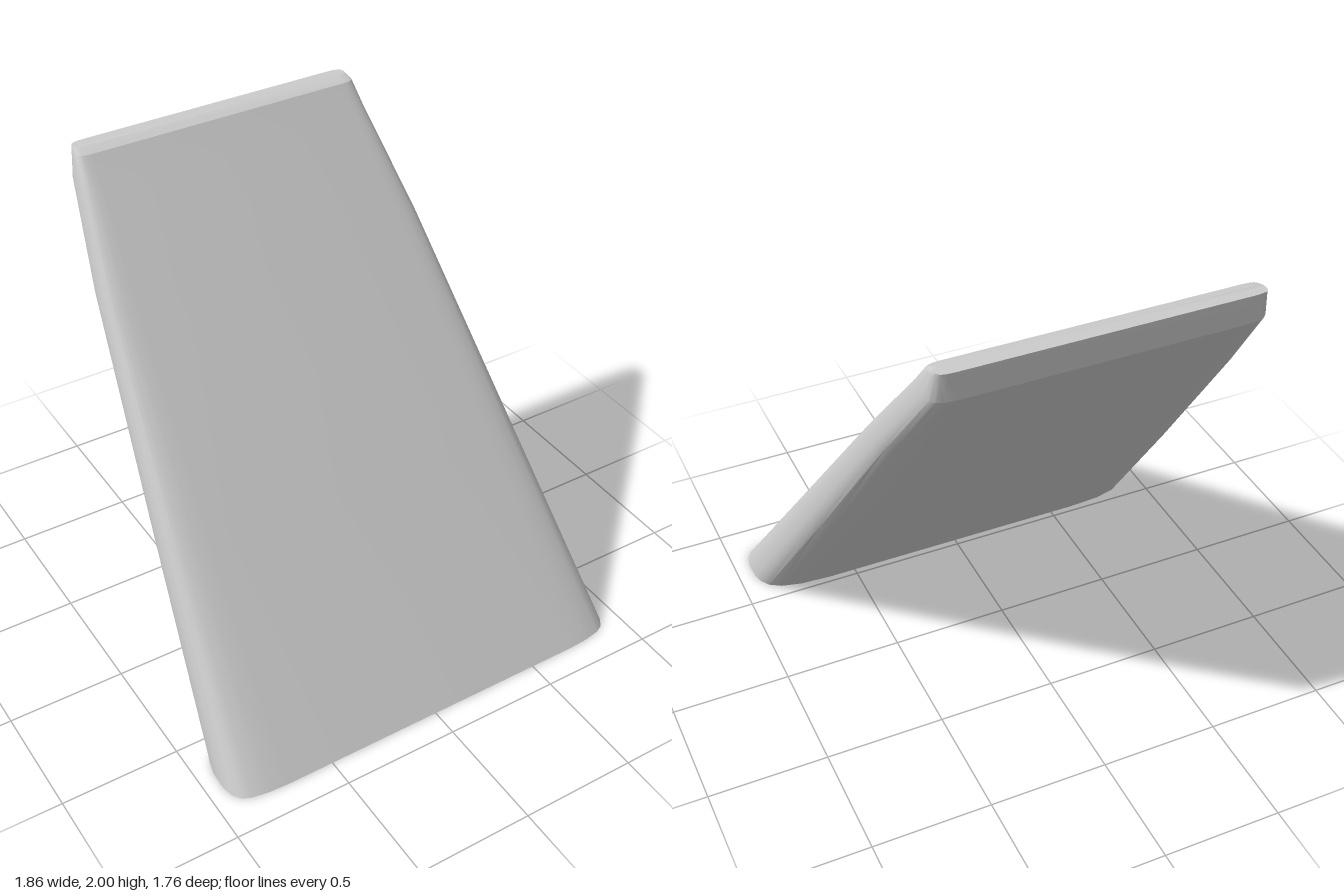
import * as THREE from 'three';
import { toCreasedNormals } from 'three/addons/utils/BufferGeometryUtils.js';

// Horizontal slices: height, half width, front z, back z, corner size
const SLICES = [
  [0, 0.932, 0.88, 0.53, 1],
  [0.75, 0.832, 0.255, -0.04, 0.75],
  [1.52, 0.728, -0.387, -0.608, 0.48],
  [1.88, 0.658, -0.687, -0.872, 0.32],
  [1.985, 0.638, -0.775, -0.88, 0.26],
  [2, 0.63, -0.82, -0.88, 0.2],
];

// Rounded end of a slice, front to back: inset from the side, fraction of depth
const END = [
  [0.23, 0], [0.14, 0.015], [0.07, 0.05], [0.035, 0.1], [0.01, 0.2], [0, 0.37],
  [0.003, 0.58], [0.015, 0.71], [0.04, 0.82], [0.09, 0.91], [0.18, 0.975], [0.32, 1],
];

function sliceRing([y, halfWidth, front, back, corner]) {
  const side = (sign) => END.map(([inset, t]) =>
    [sign * (halfWidth - inset * corner), y, front + (back - front) * t]);
  return [...side(1), ...side(-1).reverse()];
}

function loftGeometry(rings) {
  const n = rings[0].length;
  const pos = [];
  const tri = (a, b, c) => pos.push(...a, ...b, ...c);
  // Walls
  for (let i = 0; i < rings.length - 1; i++) {
    for (let j = 0; j < n; j++) {
      const k = (j + 1) % n;
      const lo = rings[i], hi = rings[i + 1];
      tri(lo[j], lo[k], hi[j]);
      tri(lo[k], hi[k], hi[j]);
    }
  }
  // Flat caps at both ends
  const bottom = rings[0], top = rings[rings.length - 1];
  for (let j = 1; j < n - 1; j++) {
    tri(bottom[0], bottom[j + 1], bottom[j]);
    tri(top[0], top[j], top[j + 1]);
  }
  const geometry = new THREE.BufferGeometry();
  geometry.setAttribute('position', new THREE.Float32BufferAttribute(pos, 3));
  return toCreasedNormals(geometry, 0.5);
}

export function createModel() {
  const group = new THREE.Group();
  group.name = 'leaningPanel';
  // Tapered slab leaning backwards
  const slab = new THREE.Mesh(
    loftGeometry(SLICES.map(sliceRing)),
    new THREE.MeshStandardMaterial({ color: 0xcccccc }),
  );
  slab.name = 'slab';
  group.add(slab);
  return group;
}
